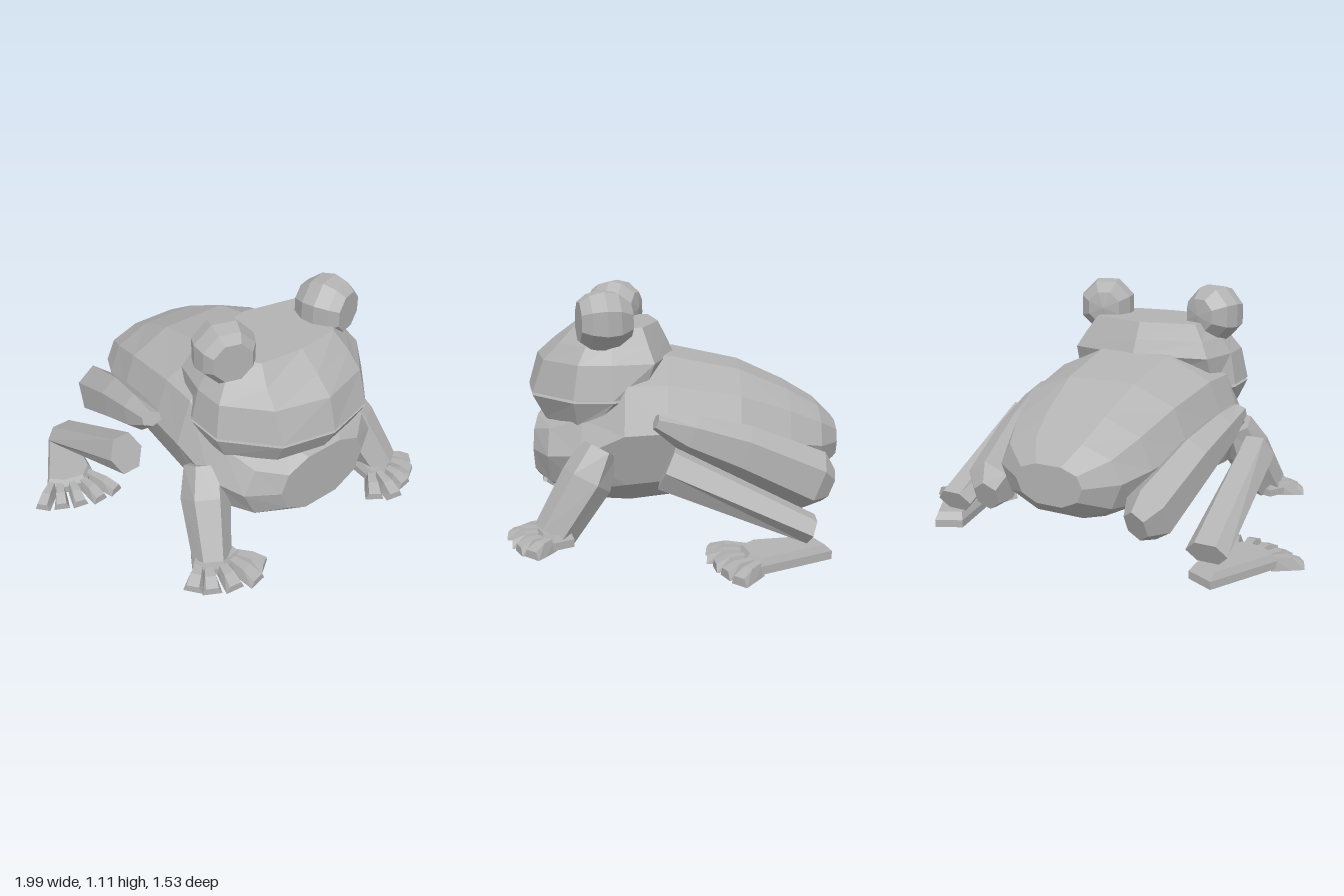
import * as THREE from 'three';

const skin = new THREE.MeshStandardMaterial({ color: 0xb2b2b2, flatShading: true });
skin.name = 'grey skin';

const V = (x, y, z) => new THREE.Vector3(x, y, z);

// Closed solid through equal-length rings of points, capped at both ends and turned outwards.
function loft(rings) {
  const tris = [];
  const n = rings[0].length;
  for (let i = 0; i < rings.length - 1; i++) {
    for (let j = 0; j < n; j++) {
      const k = (j + 1) % n;
      const a = rings[i][j], b = rings[i][k], c = rings[i + 1][k], d = rings[i + 1][j];
      tris.push([a, b, c], [a, c, d]);
    }
  }
  const cap = (ring, flip) => {
    const m = V(0, 0, 0);
    ring.forEach((p) => m.addScaledVector(p, 1 / n));
    ring.forEach((p, j) => {
      const q = ring[(j + 1) % n];
      tris.push(flip ? [m, q, p] : [m, p, q]);
    });
  };
  cap(rings[0], true);
  cap(rings[rings.length - 1], false);
  let volume = 0;
  for (const [a, b, c] of tris) volume += a.dot(b.clone().cross(c));
  const pos = [];
  for (const [a, b, c] of tris) {
    for (const p of volume < 0 ? [a, c, b] : [a, b, c]) pos.push(p.x, p.y, p.z);
  }
  const geo = new THREE.BufferGeometry();
  geo.setAttribute('position', new THREE.Float32BufferAttribute(pos, 3));
  geo.computeVertexNormals();
  return geo;
}

function add(parent, name, geo) {
  const mesh = new THREE.Mesh(geo, skin);
  mesh.name = name;
  parent.add(mesh);
  return mesh;
}

// Six-sided limb along stations [x, y, z, half width, half height]; phase 0 gives a flat top, 0.5 a ridge.
function limb(side, stations, phase) {
  const first = stations[0], last = stations[stations.length - 1];
  const dir = V(last[0] - first[0], last[1] - first[1], last[2] - first[2]).normalize();
  const across = V(0, 1, 0).cross(dir).normalize();
  const up = dir.clone().cross(across);
  return loft(stations.map(([x, y, z, w, h]) => {
    const ring = [];
    for (let i = 0; i < 6; i++) {
      const t = ((i + phase) / 3) * Math.PI;
      const p = V(x, y, z).addScaledVector(across, Math.cos(t) * w).addScaledVector(up, Math.sin(t) * h);
      ring.push(V(p.x * side, p.y, p.z));
    }
    return ring;
  }));
}

// Flat foot with chamfered top; outline is [x, z] points.
function sole(side, outline, height) {
  const cx = outline.reduce((s, p) => s + p[0], 0) / outline.length;
  const cz = outline.reduce((s, p) => s + p[1], 0) / outline.length;
  const level = (y, k) => outline.map(([x, z]) => V(side * (cx + (x - cx) * k), y, cz + (z - cz) * k));
  return loft([level(0.01, 1), level(height * 0.6, 1), level(height, 0.86)]);
}

// Wedge toe that widens and sinks towards its tip.
function toe(side, [ax, az], [bx, bz], tip) {
  const len = Math.hypot(bx - ax, bz - az);
  const px = -(bz - az) / len, pz = (bx - ax) / len;
  const ring = (t, w, h) => {
    const x = ax + (bx - ax) * t, z = az + (bz - az) * t;
    const at = (o, y) => V(side * (x + px * o), y, z + pz * o);
    return [at(-w, 0), at(w, 0), at(w * 0.65, h), at(-w * 0.65, h)];
  };
  return loft([ring(0, 0.022, 0.062), ring(0.6, tip * 0.85, 0.058), ring(1, tip, 0.035)]);
}

export function createModel() {
  const frog = new THREE.Group();
  frog.name = 'frog';

  // Body: rings [z, half width, top, bottom] from chest to rump
  const section = [[0.38, 1], [0.84, 0.7], [1, 0.1], [0.84, -0.6], [0.38, -1]];
  const around = [...section, ...section.map(([x, y]) => [-x, y]).reverse()];
  const bodyRings = [
    [0.67, 0.25, 0.5, 0.2], [0.58, 0.39, 0.54, 0.155], [0.42, 0.46, 0.62, 0.105], [0.22, 0.49, 0.8, 0.1],
    [0.03, 0.48, 0.8, 0.125], [-0.3, 0.44, 0.735, 0.145], [-0.53, 0.375, 0.635, 0.175],
    [-0.68, 0.305, 0.55, 0.215], [-0.77, 0.165, 0.465, 0.285],
  ];
  add(frog, 'body', loft(bodyRings.map(([z, w, top, bottom]) =>
    around.map(([x, y]) => V(x * w, (top + bottom) / 2 + (y * (top - bottom)) / 2, z)))));

  // Head: half outlines per level, with a narrow inset groove for the mouth
  const lip = [[0, 0.725], [0.25, 0.665], [0.44, 0.45], [0.44, 0.27], [0.37, 0.15], [0, 0.1]];
  const groove = lip.map(([x, z]) => [x * 0.93, 0.3 + (z - 0.3) * 0.93]);
  const levels = [
    [0.485, [[0, 0.63], [0.2, 0.58], [0.34, 0.44], [0.35, 0.36], [0.3, 0.25], [0, 0.2]]],
    [0.515, [[0, 0.665], [0.23, 0.61], [0.39, 0.44], [0.4, 0.36], [0.34, 0.25], [0, 0.2]]],
    [0.624, lip], [0.629, groove], [0.632, groove], [0.637, lip],
    [0.79, [[0, 0.68], [0.25, 0.61], [0.41, 0.43], [0.41, 0.28], [0.36, 0.09], [0, 0.015]]],
    [0.865, [[0, 0.595], [0.24, 0.54], [0.355, 0.4], [0.36, 0.28], [0.32, 0.12], [0, 0.05]]],
    [0.943, [[0, 0.49], [0.21, 0.47], [0.28, 0.38], [0.29, 0.27], [0.27, 0.15], [0, 0.09]]],
  ];
  add(frog, 'head', loft(levels.map(([y, half]) => [
    ...half.map(([x, z]) => V(x, y, z)),
    ...half.slice(1, -1).reverse().map(([x, z]) => V(-x, y, z)),
  ])));

  // Toes fan from the first point to the second
  const frontToes = [
    [[0.6, 0.53], [0.705, 0.61]], [[0.58, 0.56], [0.645, 0.675]], [[0.53, 0.58], [0.55, 0.72]],
    [[0.48, 0.59], [0.445, 0.75]], [[0.45, 0.57], [0.36, 0.695]],
  ];
  const hindToes = [
    [[0.86, -0.36], [0.972, -0.268]], [[0.83, -0.34], [0.895, -0.215]], [[0.78, -0.32], [0.81, -0.175]],
    [[0.73, -0.31], [0.715, -0.145]], [[0.68, -0.32], [0.62, -0.15]],
  ];

  for (const side of [1, -1]) {
    const label = side > 0 ? 'left' : 'right';

    // Eye: faceted ball with a flat pupil end facing forwards and outwards
    const profile = [[0, -0.13], [0.085, -0.118], [0.135, -0.055], [0.147, 0.01], [0.128, 0.075], [0.095, 0.118], [0, 0.118]];
    const ball = new THREE.LatheGeometry(profile.map(([r, y]) => new THREE.Vector2(r, y)), 8);
    ball.rotateY(Math.PI / 8).rotateX(Math.PI / 2);
    const eye = add(frog, label + 'Eye', ball);
    eye.rotation.y = side * 0.3;
    eye.position.set(side * 0.3, 0.977, 0.32);

    // Front leg and foot
    const front = new THREE.Group();
    front.name = label + 'FrontLeg';
    frog.add(front);
    add(front, 'arm', limb(side, [
      [0.42, 0.415, 0.34, 0.1, 0.085], [0.465, 0.28, 0.395, 0.115, 0.12], [0.54, 0.05, 0.535, 0.09, 0.1],
    ], 0));
    add(front, 'frontFoot', sole(side, [
      [0.43, 0.48], [0.59, 0.44], [0.64, 0.52], [0.61, 0.58], [0.53, 0.62], [0.42, 0.6],
    ], 0.075));
    frontToes.forEach(([a, b]) => add(front, 'frontToe', toe(side, a, b, 0.045)));

    // Hind leg: thigh folded up from the hip, shin folded back to the heel
    const hind = new THREE.Group();
    hind.name = label + 'HindLeg';
    frog.add(hind);
    add(hind, 'thigh', limb(side, [
      [0.53, 0.565, 0.08, 0.05, 0.035], [0.51, 0.505, -0.07, 0.07, 0.09],
      [0.465, 0.42, -0.3, 0.095, 0.12], [0.405, 0.265, -0.63, 0.11, 0.14], [0.38, 0.235, -0.7, 0.06, 0.08],
    ], 0.5));
    add(hind, 'shin', limb(side, [
      [0.648, 0.39, 0.03, 0.085, 0.102], [0.655, 0.125, -0.59, 0.095, 0.062],
    ], 0));
    add(hind, 'hindFoot', sole(side, [
      [0.59, -0.62], [0.71, -0.675], [0.81, -0.5], [0.89, -0.36], [0.83, -0.3], [0.72, -0.27], [0.65, -0.33],
    ], 0.077));
    hindToes.forEach(([a, b]) => add(hind, 'hindToe', toe(side, a, b, 0.038)));
  }

  return frog;
}
